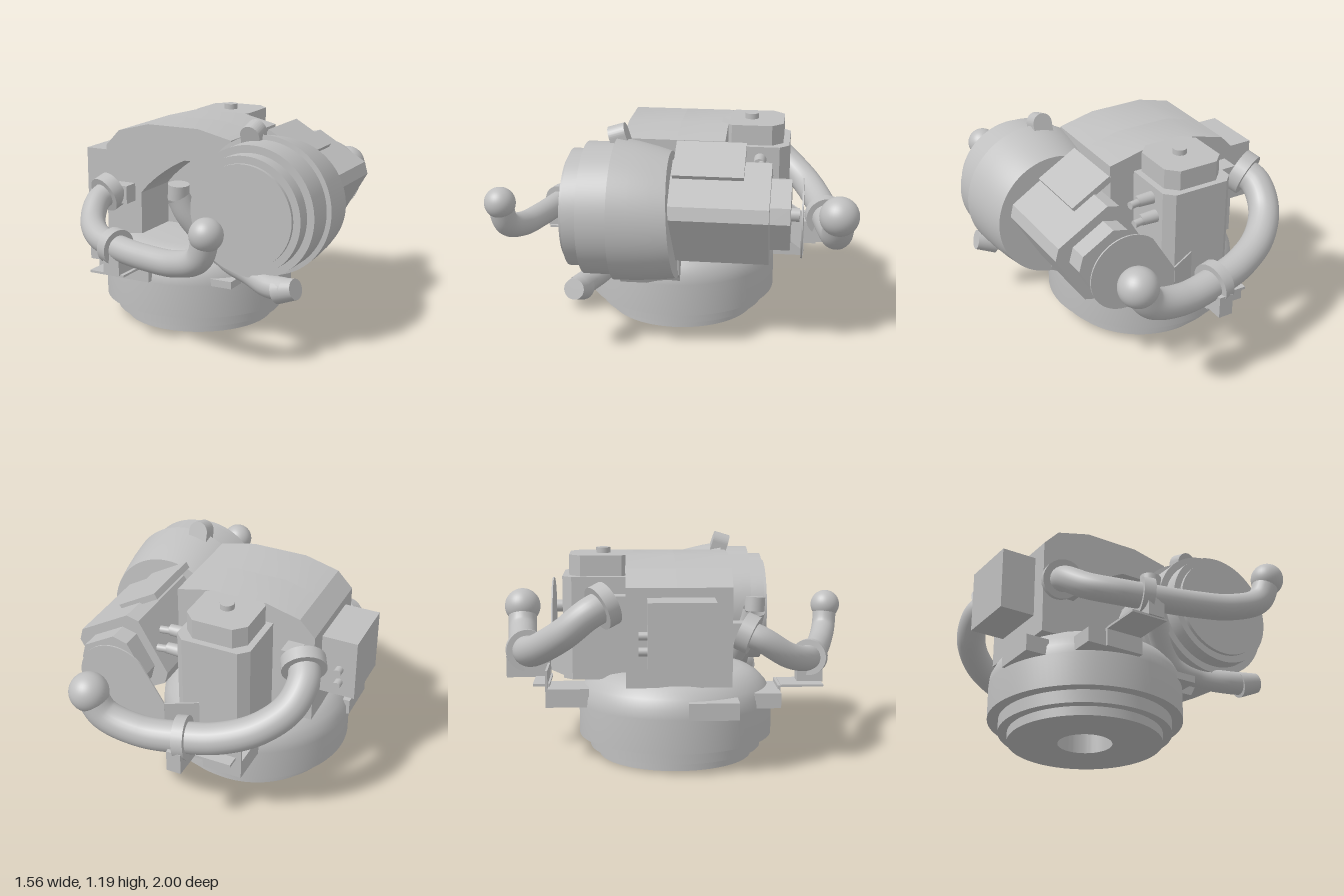
import * as THREE from 'three';
import { toCreasedNormals } from 'three/addons/utils/BufferGeometryUtils.js';

const metal = new THREE.MeshStandardMaterial({ color: 0xbfbfbf });
metal.name = 'castGrey';
metal.side = THREE.DoubleSide;

const V = (x, y, z) => new THREE.Vector3(x, y, z);

export function createModel() {
  const model = new THREE.Group();
  model.name = 'robotShoulder';

  const add = (name, geo, x = 0, y = 0, z = 0, parent = model) => {
    const m = new THREE.Mesh(geo, metal);
    m.name = name;
    m.position.set(x, y, z);
    parent.add(m);
    return m;
  };
  const box = (name, x0, x1, y0, y1, z0, z1, parent = model) =>
    add(name, new THREE.BoxGeometry(x1 - x0, y1 - y0, z1 - z0), (x0 + x1) / 2, (y0 + y1) / 2, (z0 + z1) / 2, parent);
  const lathe = pts => new THREE.LatheGeometry(pts.map(p => new THREE.Vector2(...p)), 96);
  // Cylinder between two points, with optional taper
  const rod = (name, a, b, r, r2 = r, seg = 28) => {
    const m = add(name, new THREE.CylinderGeometry(r2, r, a.distanceTo(b), seg));
    m.position.copy(a).lerp(b, 0.5);
    m.quaternion.setFromUnitVectors(V(0, 1, 0), b.clone().sub(a).normalize());
    return m;
  };
  // Profile in the front plane, extruded from z0 to z1
  const slab = (name, shape, z0, z1) => add(name,
    toCreasedNormals(new THREE.ExtrudeGeometry(shape, { depth: z1 - z0, bevelEnabled: false, curveSegments: 20 }), 0.5), 0, 0, z0);
  const poly = pts => new THREE.Shape(pts.map(p => new THREE.Vector2(...p)));
  // Square prism with cut corners
  const prism = (h, c, depth) => new THREE.ExtrudeGeometry(
    poly([[h, -h + c], [h, h - c], [h - c, h], [-h + c, h], [-h, h - c], [-h, -h + c], [-h + c, -h], [h - c, -h]]),
    { depth, bevelEnabled: false });

  // Stepped round base with a domed top and a central bore
  add('turntableBase', toCreasedNormals(lathe([[0, 0.28], [0.148, 0.28], [0.148, 0], [0.42, 0], [0.42, 0.05], [0.47, 0.05],
    [0.47, 0.12], [0.53, 0.12], [0.53, 0.3], [0.525, 0.35], [0.5, 0.4], [0.46, 0.445], [0.41, 0.475], [0.36, 0.485], [0, 0.485]]), 0.5), -0.148, 0, -0.01);

  // Solid rear half of the shoulder casting, and the arched hood in front of it
  const outline = [[0.2, 1.065], [0, 1.11], [-0.31, 1.11], [-0.5, 1.06], [-0.585, 0.97], [-0.585, 0.45]];
  slab('shoulderRear', poly([[0.2, 0.46], ...outline]), -0.28, -0.02);
  const hood = poly([...outline, [-0.36, 0.45], [-0.36, 0.72]]);
  hood.bezierCurveTo(-0.3, 0.8, -0.16, 0.9, -0.08, 0.93);
  hood.lineTo(0.2, 0.93);
  slab('shoulderHood', hood, -0.02, 0.27);
  slab('housingWeb', poly([[0.09, 0.52], [0.16, 0.38], [0.22, 0.3], [0.365, 0.3], [0.39, 0.35], [0.45, 0.39], [0.4, 0.74], [0.1, 0.88]]), -0.06, 0.27);

  // Round arm joint with stepped front flange; its rear body droops towards the base
  const jointGeo = lathe([[0, -0.035], [0.335, -0.035], [0.352, 0.05], [0.368, 0.16], [0.378, 0.27],
    [0.352, 0.272], [0.352, 0.43], [0.312, 0.43], [0.312, 0.51], [0.273, 0.51], [0.273, 0.53], [0, 0.53]]);
  const jp = jointGeo.attributes.position;
  for (let i = 0; i < jp.count; i++) {
    const t = Math.max(0, (0.27 - jp.getY(i)) / 0.305), z = jp.getZ(i);
    jp.setZ(i, z + 0.022 * t);
    jp.setY(i, jp.getY(i) - 0.07 * z * t);
  }
  add('armJoint', toCreasedNormals(jointGeo, 0.5), 0.4, 0.737, 0).rotation.x = Math.PI / 2;

  // Leaning lug on top of the joint
  const eye = poly([[-0.055, -0.05], [0.055, -0.05]]);
  eye.lineTo(0.055, 0.02);
  eye.absarc(0, 0.02, 0.055, 0, Math.PI);
  const lug = slab('liftingLug', eye, 0.22, 0.31);
  lug.position.x = 0.33;
  lug.position.y = 1.115;
  lug.rotation.x = 0.3;

  // Cable duct wrapping under the joint, with a port at each end
  const duct = new THREE.CatmullRomCurve3([V(-0.022, 0.77, 0.44), V(0.015, 0.68, 0.42), V(0.09, 0.56, 0.37),
    V(0.2, 0.43, 0.32), V(0.36, 0.38, 0.35), V(0.5, 0.355, 0.42), V(0.61, 0.36, 0.45)]);
  add('cableDuct', new THREE.TubeGeometry(duct, 48, 0.063, 20, false));
  rod('upperPort', V(-0.024, 0.765, 0.44), V(-0.018, 0.845, 0.445), 0.057);
  rod('lowerPort', V(0.56, 0.345, 0.44), V(0.67, 0.375, 0.46), 0.07, 0.055);

  // Horizontal motor behind the joint
  const armMotor = new THREE.Group();
  armMotor.name = 'armMotor';
  armMotor.position.set(0.4, 0.74, 0);
  armMotor.rotation.z = -Math.PI / 6;
  model.add(armMotor);
  add('motorBody', prism(0.212, 0.05, 0.52), 0, 0, -0.54, armMotor);
  add('motorCap', prism(0.16, 0.06, 0.11), 0, 0, -0.645, armMotor);
  box('motorTerminalCover', -0.28, -0.03, 0.2, 0.235, -0.4, -0.03, armMotor);
  rod('motorCapPlug', V(0.4, 0.74, -0.64), V(0.4, 0.74, -0.69), 0.036);

  // Vertical motor at the back
  const upright = (name, h, c, y0, y1) => {
    add(name, prism(h, c, y1 - y0), -0.148, y0, -0.41).rotation.x = -Math.PI / 2;
  };
  upright('turnMotorBody', 0.205, 0.05, 0.45, 1.0);
  upright('turnMotorCap', 0.17, 0.06, 1.0, 1.11);
  rod('turnMotorPlug', V(-0.148, 1.1, -0.4), V(-0.148, 1.14, -0.4), 0.038);
  for (const [y, z] of [[0.93, -0.46], [0.84, -0.5]]) {
    rod('motorConnector', V(0.04, y, z), V(0.15, y, z), 0.035, 0.03);
    rod('connectorTip', V(0.14, y, z - 0.01), V(0.2, y, z - 0.02), 0.02);
  }

  // Side junction box with plugs
  box('junctionBox', -0.78, -0.585, 0.575, 0.92, -0.17, 0.175);
  for (const y of [0.66, 0.74]) rod('boxPlug', V(-0.69, y, -0.16), V(-0.69, y, -0.215), 0.022);

  // Thin round-ended guard plate behind the arm motor, with a bent wing
  const guard = poly([[0.07, 0.42], [0.2, 0.44]]);
  guard.lineTo(0.35, 0.495);
  guard.absarc(0.35, 0.705, 0.21, -Math.PI / 2, Math.PI * 0.75);
  guard.lineTo(0.07, 0.64);
  slab('guardPlate', guard, -0.709, -0.701);
  add('guardWing', new THREE.BoxGeometry(0.182, 0.22, 0.008), -0.01, 0.53, -0.665).rotation.y = 0.48;

  // Hoses with ball ends, capped sleeves, and clamps
  const hose = (name, pts, r, ballR, clampT, clampR) => {
    const path = new THREE.CatmullRomCurve3(pts);
    add(name, new THREE.TubeGeometry(path, 90, r, 24, false));
    add(name + 'Ball', new THREE.SphereGeometry(ballR, 36, 24)).position.copy(pts[pts.length - 1]);
    const ring = (part, t, len, outer) => {
      const p = path.getPointAt(t), d = path.getTangentAt(t).multiplyScalar(len / 2);
      rod(part, p.clone().sub(d), p.clone().add(d), outer);
    };
    ring(name + 'Sleeve', 0.02, 0.07, r + 0.035);
    ring(name + 'Clamp', clampT, 0.06, clampR);
  };
  hose('frontHose', [V(-0.515, 0.735, 0.33), V(-0.54, 0.69, 0.43), V(-0.49, 0.605, 0.56), V(-0.38, 0.56, 0.66), V(-0.2, 0.54, 0.735),
    V(0, 0.535, 0.795), V(0.2, 0.55, 0.85), V(0.35, 0.61, 0.895), V(0.4, 0.74, 0.912)], 0.068, 0.085, 0.43, 0.098);
  hose('backHose', [V(-0.56, 0.89, -0.37), V(-0.605, 0.84, -0.47), V(-0.58, 0.74, -0.59), V(-0.46, 0.65, -0.71), V(-0.28, 0.59, -0.79),
    V(-0.1, 0.565, -0.83), V(0.12, 0.56, -0.87), V(0.32, 0.62, -0.89), V(0.4, 0.74, -0.895)], 0.083, 0.105, 0.6, 0.115);
  box('frontSleeveMount', -0.5, -0.4, 0.67, 0.77, 0.25, 0.36);
  box('backSleeveMount', -0.53, -0.44, 0.82, 0.92, -0.38, -0.26);

  // Front hose bracket
  box('frontClampFoot', -0.275, -0.18, 0.41, 0.52, 0.65, 0.79);
  box('frontBracketTop', -0.365, -0.16, 0.402, 0.414, 0.55, 0.78);
  box('frontBracketWeb', -0.365, -0.15, 0.31, 0.41, 0.535, 0.55);
  box('frontBracketLug', -0.47, -0.15, 0.31, 0.39, 0.4, 0.54);

  // Rear hose bracket
  box('backClampFoot', -0.14, -0.06, 0.42, 0.54, -0.94, -0.7);
  box('backBracketTop', -0.34, -0.06, 0.41, 0.425, -0.78, -0.69);
  box('backBracketPlate', -0.37, -0.15, 0.3, 0.5, -0.712, -0.7);
  box('backBracketFoot', -0.37, -0.15, 0.3, 0.4, -0.7, -0.48);

  // Lugs on the base rim
  box('sideLug', -0.69, -0.56, 0.3, 0.39, 0.04, 0.3);
  box('rightLug', 0.12, 0.28, 0.3, 0.34, 0.25, 0.42);

  return model;
}
